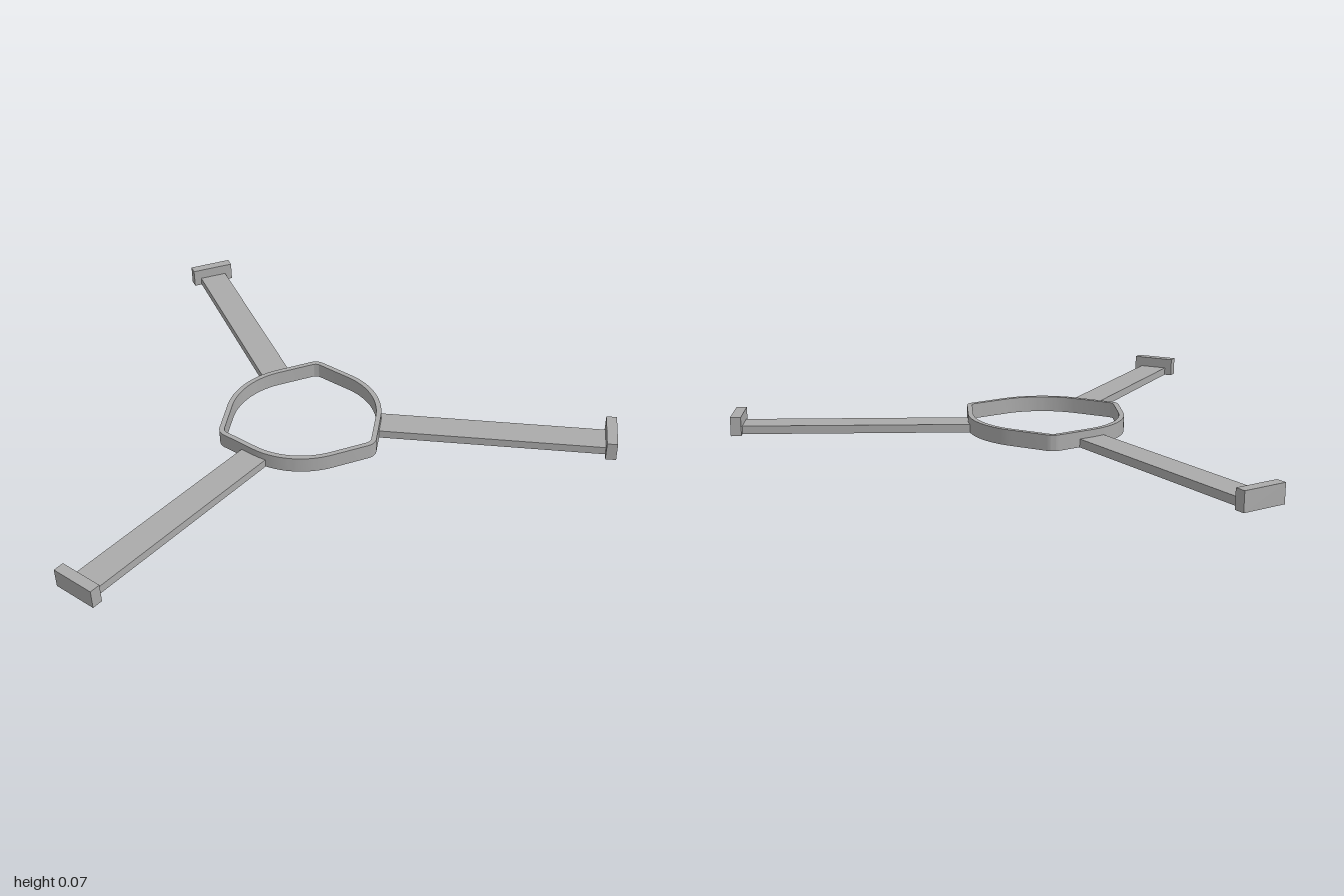
import * as THREE from 'three';
import { toCreasedNormals } from 'three/addons/utils/BufferGeometryUtils.js';

const SECTOR = (Math.PI * 2) / 3;
const HUB_X = -0.242;      // hub centre, offset so the model is centred
const RING_R = 0.277, RING_WALL = 0.018, RING_H = 0.055, CORNER_R = 0.045;
const REACH = 1.106;       // hub centre to outer face of an end plate

// Outline alternating round arcs with tangent, rounded 120-degree corners
function traceOutline(path, radius, corner) {
  const d = (radius - corner) / Math.cos(Math.PI / 6);
  for (let k = 0; k < 3; k++) {
    const a = k * SECTOR, mid = a + Math.PI / 6;
    path.absarc(d * Math.cos(mid), d * Math.sin(mid), corner, a, a + SECTOR / 2, false);
    path.absarc(0, 0, radius, a + SECTOR / 2, a + SECTOR, false);
  }
  path.closePath();
  return path;
}

function box(name, x0, x1, height, width, material) {
  const geometry = new THREE.BoxGeometry(x1 - x0, height, width);
  geometry.translate((x0 + x1) / 2, height / 2, 0);
  const mesh = new THREE.Mesh(geometry, material);
  mesh.name = name;
  return mesh;
}

export function createModel() {
  const model = new THREE.Group();
  model.name = 'threeArmBracket';
  const grey = new THREE.MeshStandardMaterial({ color: 0xaaaaaa });
  grey.name = 'plain grey';

  const hub = new THREE.Group();
  hub.name = 'hub';
  hub.position.x = HUB_X;
  model.add(hub);

  // Thin-walled central ring
  const shape = traceOutline(new THREE.Shape(), RING_R, CORNER_R);
  shape.holes.push(traceOutline(new THREE.Path(), RING_R - RING_WALL, CORNER_R - RING_WALL));
  const ringGeometry = new THREE.ExtrudeGeometry(shape, {
    depth: RING_H, bevelEnabled: false, curveSegments: 16,
  });
  ringGeometry.rotateX(Math.PI / 2).translate(0, RING_H, 0);
  const ring = new THREE.Mesh(toCreasedNormals(ringGeometry, 0.5), grey);
  ring.name = 'ring';
  hub.add(ring);

  // Three flat arms, each with an upright end plate
  for (let k = 0; k < 3; k++) {
    const arm = new THREE.Group();
    arm.name = 'arm' + (k + 1);
    arm.rotation.y = k * SECTOR;
    arm.add(
      box('armBar', RING_R - 0.01, REACH - 0.035, 0.029, 0.104, grey),
      box('endPlate', REACH - 0.037, REACH, 0.067, 0.16, grey),
    );
    hub.add(arm);
  }
  return model;
}
